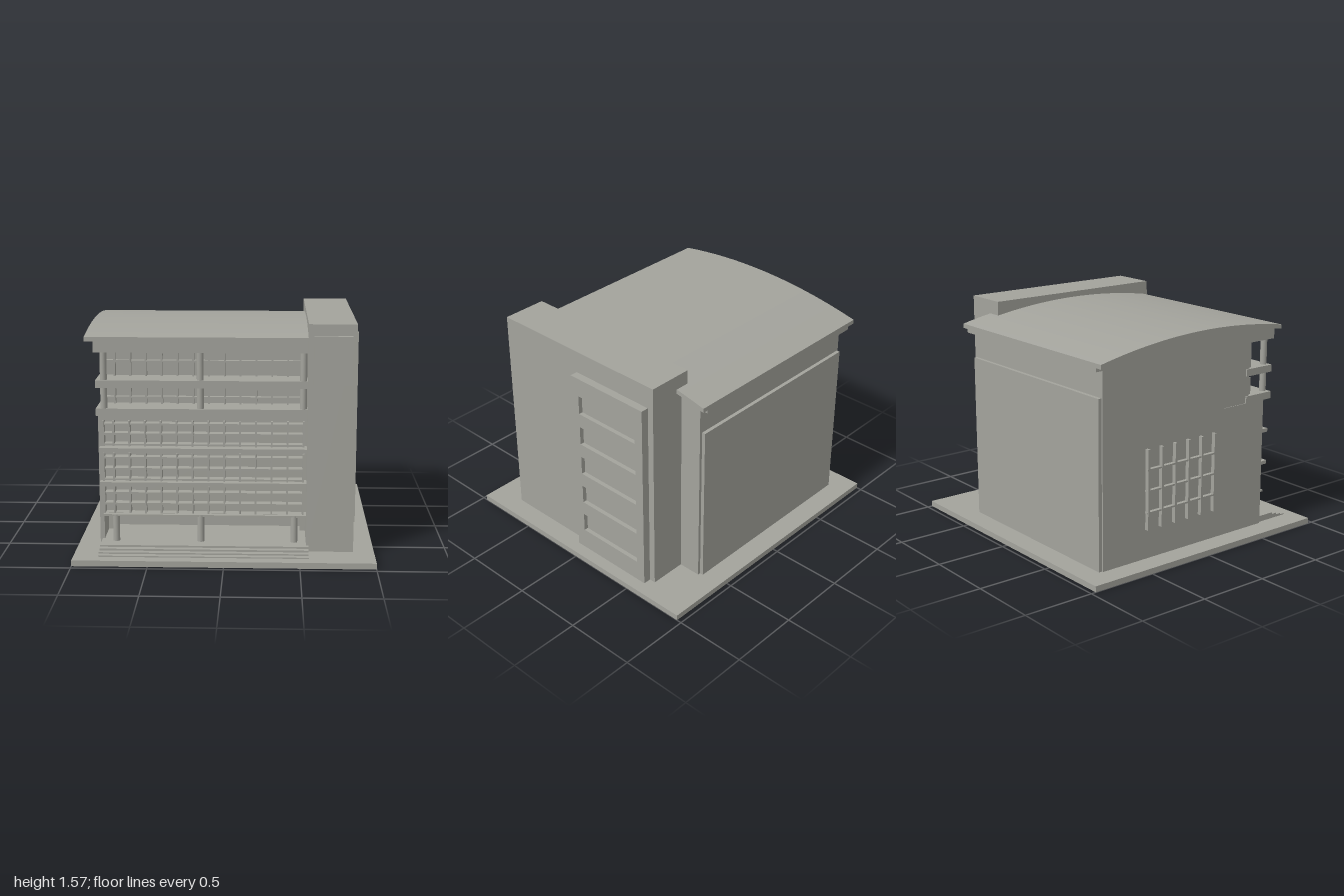
import * as THREE from 'three';

export function createModel() {
  const model = new THREE.Group();
  const concrete = new THREE.MeshStandardMaterial({ color: 0xa3a39c });
  concrete.name = 'concrete grey';

  function add(name, geometry, parent = model) {
    const mesh = new THREE.Mesh(geometry, concrete);
    mesh.name = name;
    parent.add(mesh);
    return mesh;
  }
  // box given by its extents on each axis
  function box(name, [x0, x1], [y0, y1], [z0, z1], parent) {
    const g = new THREE.BoxGeometry(x1 - x0, y1 - y0, z1 - z0);
    g.translate((x0 + x1) / 2, (y0 + y1) / 2, (z0 + z1) / 2);
    return add(name, g, parent);
  }
  // side profile in (z, y), extruded from x0 to x1
  function sideExtrude(name, shape, x0, x1) {
    const g = new THREE.ExtrudeGeometry(shape, { depth: x1 - x0, bevelEnabled: false });
    g.rotateY(Math.PI / 2);
    g.translate(x0, 0, 0);
    return add(name, g);
  }
  const zy = (points) => points.map(([z, y]) => new THREE.Vector2(-z, y));
  function group(name) {
    const g = new THREE.Group();
    g.name = name;
    model.add(g);
    return g;
  }

  // ground plate and entrance steps
  box('groundPlate', [-1, 1], [0, 0.04], [-0.965, 0.965]);
  const steps = group('entranceSteps');
  [[0.083, 0.765], [0.07, 0.805], [0.058, 0.845], [0.048, 0.885]].forEach(([top, front]) =>
    box('step', [-0.835, 0.56], [0.04, top], [0.3, front], steps));

  // main body, with the entrance recess left open at the front
  box('mainBody', [-0.85, 0.6], [0.04, 1.38], [-0.79, 0.25]);
  box('lowerFrontWall', [-0.82, 0.55], [0.265, 0.95], [0.25, 0.58]);
  box('leftSideWall', [-0.85, -0.82], [0.04, 0.95], [0.25, 0.62]);
  box('upperWall', [-0.845, 0.55], [0.95, 1.38], [0.25, 0.48]);
  box('backPanel', [-0.84, 0.58], [0.04, 1.195], [-0.815, -0.78]);

  // entrance surround
  const entrance = group('entranceSurround');
  box('entranceLeftJamb', [-0.82, -0.775], [0.08, 0.265], [0.25, 0.4], entrance);
  box('entranceRightJamb', [0.51, 0.55], [0.08, 0.265], [0.25, 0.4], entrance);
  box('entranceLintel', [-0.775, 0.51], [0.245, 0.266], [0.25, 0.4], entrance);

  // balcony slabs and sun ledges across the front
  const ledges = group('frontLedges');
  box('upperBalconySlab', [-0.855, 0.55], [1.14, 1.19], [0.45, 0.685], ledges);
  box('lowerBalconySlab', [-0.855, 0.55], [0.95, 1.0], [0.45, 0.685], ledges);
  box('ledge', [-0.84, 0.55], [0.705, 0.73], [0.55, 0.68], ledges);
  box('ledge', [-0.84, 0.55], [0.47, 0.495], [0.55, 0.68], ledges);
  box('topLintel', [-0.82, 0.55], [0.91, 0.95], [0.57, 0.62], ledges);

  // lattice of vertical fins and horizontal rails over the windows
  function lattice(name, finX, rails, [y0, y1], [z0, z1]) {
    const g = group(name);
    const left = finX[0], right = finX[finX.length - 1];
    finX.forEach((x) => box('fin', [x - 0.006, x + 0.006], [y0, y1], [z0, z1], g));
    rails.forEach((y) => box('rail', [left, right], [y - 0.006, y + 0.006], [z0, z1 - 0.004], g));
  }
  const fins = [-0.815];
  for (let i = 0; i < 13; i++) fins.push(-0.747 + i * 0.1058);
  lattice('fourthFloorLattice', fins, [0.885, 0.818, 0.745], [0.735, 0.91], [0.57, 0.645]);
  lattice('thirdFloorLattice', fins, [0.69, 0.655, 0.578, 0.505], [0.495, 0.69], [0.57, 0.645]);
  lattice('secondFloorLattice', fins, [0.46, 0.41, 0.335, 0.265], [0.26, 0.46], [0.57, 0.645]);
  lattice('topBalconyWindows', fins, [1.29], [1.19, 1.38], [0.47, 0.52]);
  lattice('lowerBalconyWindows', fins, [1.114, 1.043], [1.0, 1.118], [0.47, 0.52]);

  // round columns
  function column(name, x, y0, y1) {
    const g = new THREE.CylinderGeometry(0.023, 0.023, y1 - y0, 24);
    g.translate(x, (y0 + y1) / 2, 0.655);
    add(name, g);
  }
  [-0.803, -0.163, 0.517].forEach((x) => {
    column('upperColumn', x, 1.19, 1.38);
    column('middleColumn', x, 1.0, 1.14);
  });
  [-0.735, -0.163, 0.465].forEach((x) => column('entranceColumn', x, 0.08, 0.268));
  box('portico', [-0.82, 0.55], [0.258, 0.27], [0.57, 0.675]);

  // window lattice on the left side
  const sideGrid = group('leftSideLattice');
  for (let i = 0; i <= 5; i++) {
    const z = -0.43 + i * 0.116;
    box('sideFin', [-0.88, -0.84], [0.245, 0.8], [z - 0.008, z + 0.008], sideGrid);
  }
  [0.365, 0.515, 0.66].forEach((y) =>
    box('sideRail', [-0.877, -0.84], [y - 0.006, y + 0.006], [-0.44, 0.16], sideGrid));

  // curved roof and the gable band beneath it
  const roofY = (z) => 1.535 - 0.127 * (z - 0.042) ** 2;
  function arc(z0, z1, drop, n = 32) {
    const pts = [];
    for (let i = 0; i <= n; i++) {
      const z = z0 + ((z1 - z0) * i) / n;
      pts.push([z, roofY(z) - drop]);
    }
    return pts;
  }
  sideExtrude('curvedRoof', new THREE.Shape(zy([...arc(-0.855, 0.7, 0), ...arc(0.7, -0.855, 0.03)])), -0.92, 0.645);
  sideExtrude('roofBand', new THREE.Shape(zy([[0.69, 1.376], [-0.85, 1.376], ...arc(-0.85, 0.69, 0.028)])), -0.865, 0.6);

  // stair tower with its front panel
  box('tower', [0.545, 0.86], [0.04, 1.575], [-0.63, 0.73]);
  box('towerFrontPanel', [0.58, 0.83], [1.18, 1.5], [0.72, 0.765]);

  // side slab of the tower with five recessed windows
  const slab = new THREE.Shape(zy([[0.055, 0.04], [-0.585, 0.04], [-0.585, 1.42], [0.055, 1.42]]));
  for (let i = 0; i < 5; i++) {
    const y = 0.19 + i * 0.24;
    slab.holes.push(new THREE.Path(zy([[-0.01, y], [-0.01, y + 0.137], [-0.52, y + 0.137], [-0.52, y]])));
  }
  sideExtrude('towerSideSlab', slab, 0.885, 0.915);
  box('towerSideSlabBack', [0.85, 0.885], [0.04, 1.42], [-0.585, 0.055]);

  return model;
}
